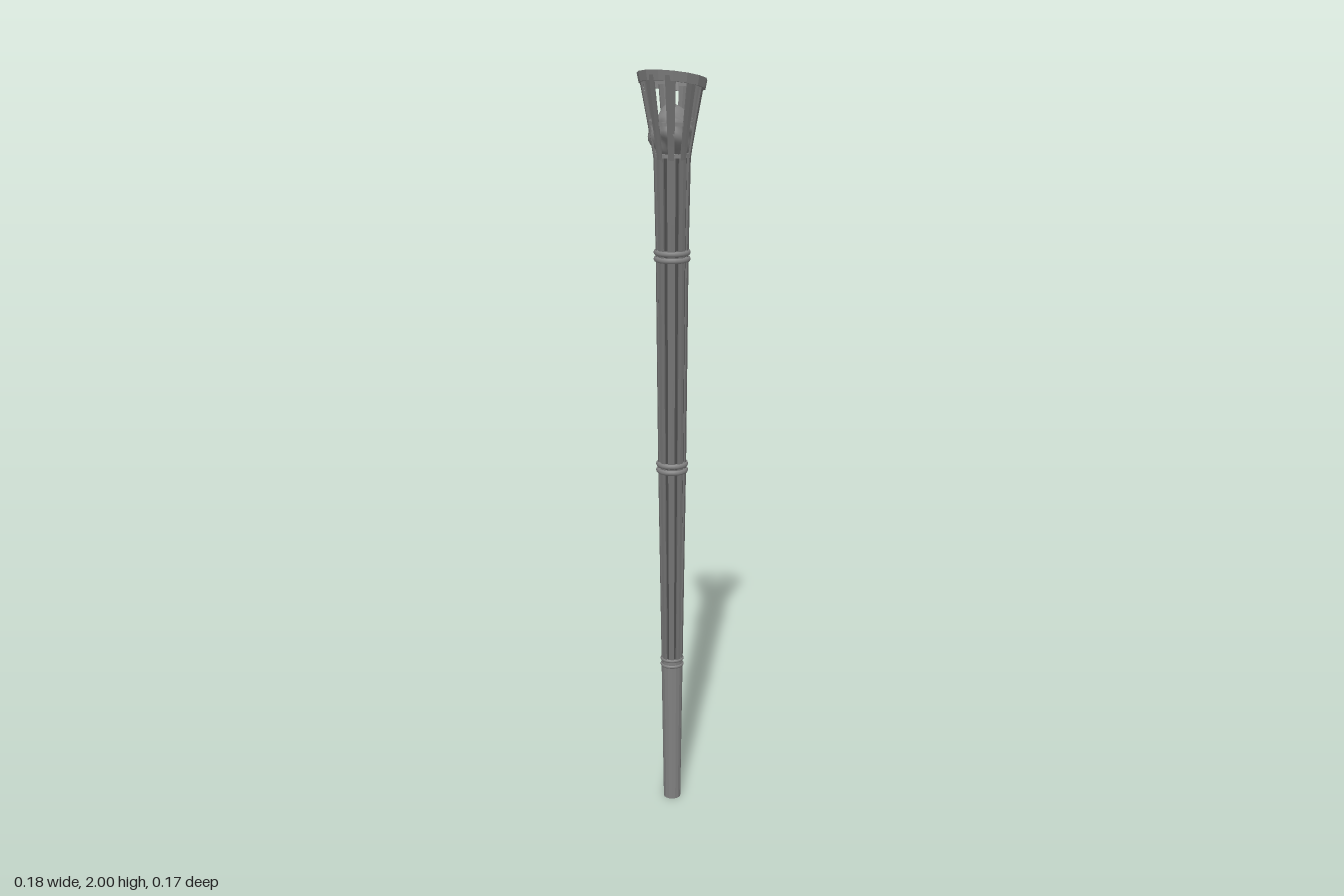
import * as THREE from 'three';

const SLATS = 9;
// Outer radius of the torch by height
const PROFILE = [[0, 0.023], [0.42, 0.029], [0.97, 0.037], [1.53, 0.042], [1.78, 0.047], [1.87, 0.063], [2.01, 0.089]];
function radiusAt(y) {
  let i = 1;
  while (i < PROFILE.length - 1 && y > PROFILE[i][0]) i++;
  const [y0, r0] = PROFILE[i - 1], [y1, r1] = PROFILE[i];
  return r0 + (r1 - r0) * (y - y0) / (y1 - y0);
}
const rimY = z => 1.977 + 0.25 * z; // slanted top edge, high at the front

export function createModel() {
  const torch = new THREE.Group();
  torch.name = 'torch';
  const paint = (color, flatShading) => new THREE.MeshStandardMaterial({ color, flatShading, side: THREE.DoubleSide });
  const smooth = paint(0x808080, false);
  const flat = paint(0x808080, true);
  const slatMat = paint(0x727272, true);
  const coreMat = paint(0x4c4c4c, true);
  const add = (name, geo, m) => {
    const mesh = new THREE.Mesh(geo, m);
    mesh.name = name;
    torch.add(mesh);
    return mesh;
  };
  const lathe = (pts, sides) => new THREE.LatheGeometry(pts.map(p => new THREE.Vector2(...p)), sides);

  // Solid grip and the dark core behind the slats
  add('grip', lathe([[0, 0], [0.023, 0], [0.029, 0.42], [0, 0.42]], 16), flat);
  add('core', lathe([[0.024, 0.4], [0.033, 0.97], [0.038, 1.53], [0.041, 1.78], [0, 1.78]], 18), coreMat);

  // Bent strip following the profile between two heights
  function slat(name, angle, y0, y1, fill, thick) {
    const geo = new THREE.BoxGeometry(1, 1, 1, 2, 6, 1);
    const p = geo.attributes.position;
    for (let i = 0; i < p.count; i++) {
      const y = y0 + (y1 - y0) * (p.getY(i) + 0.5);
      const a = angle + p.getX(i) * fill * 2 * Math.PI / SLATS;
      const r = radiusAt(y) - (0.5 - p.getZ(i)) * thick;
      p.setXYZ(i, r * Math.sin(a), y, r * Math.cos(a));
    }
    add(name, geo, slatMat);
  }
  for (let i = 0; i < SLATS; i++) {
    const a = Math.PI + i * 2 * Math.PI / SLATS;
    slat('shaftSlat', a, 0.42, 0.97, 0.66, 0.006);
    slat('shaftSlat', a, 0.97, 1.53, 0.66, 0.006);
    slat('shaftSlat', a, 1.53, 1.78, 0.66, 0.006);
    slat('basketSlat', a, 1.775, rimY(0.082 * Math.cos(a)) - 0.01, 0.46, 0.005);
  }

  // Double-bead bands around the shaft
  for (const y of [0.41, 0.967, 1.53]) {
    const r = radiusAt(y);
    for (const s of [-1, 1]) {
      const bead = add('band', new THREE.TorusGeometry(r - 0.002, y < 0.5 ? 0.005 : 0.0075, 8, 24), smooth);
      bead.rotation.x = Math.PI / 2;
      bead.position.y = y + s * 0.0085;
    }
  }

  // Thin hoops low in the basket
  for (const y of [1.785, 1.865]) {
    const r = radiusAt(y) - 0.001;
    add('basketHoop', lathe([[r - 0.004, y - 0.005], [r, y - 0.005], [r, y + 0.005],
      [r - 0.004, y + 0.005], [r - 0.004, y - 0.005]], 15), flat);
  }

  // Slanted rim
  const rim = lathe([[0.078, -0.024], [0.083, -0.024], [0.088, 0], [0.082, 0], [0.078, -0.024]], 15);
  const rp = rim.attributes.position;
  for (let i = 0; i < rp.count; i++) rp.setY(i, rp.getY(i) + rimY(rp.getZ(i)));
  add('rim', rim, flat);

  // Lumpy fuel resting in the basket
  const lump = new THREE.SphereGeometry(1, 28, 20);
  const lp = lump.attributes.position, v = new THREE.Vector3();
  for (let i = 0; i < lp.count; i++) {
    v.fromBufferAttribute(lp, i);
    const bump = 1 + 0.08 * Math.sin(5 * v.x + 2 * v.y) + 0.08 * Math.cos(5 * v.z + 3 * v.x) + 0.06 * Math.sin(8 * v.y - 5 * v.z);
    const taper = 0.9 + 0.1 * v.y;
    lp.setXYZ(i, v.x * 0.061 * bump * taper - 0.001, 1.84 + v.y * 0.058 * bump, v.z * 0.056 * bump * taper - 0.003);
  }
  lump.computeVertexNormals();
  add('fuel', lump, smooth);

  return torch;
}
